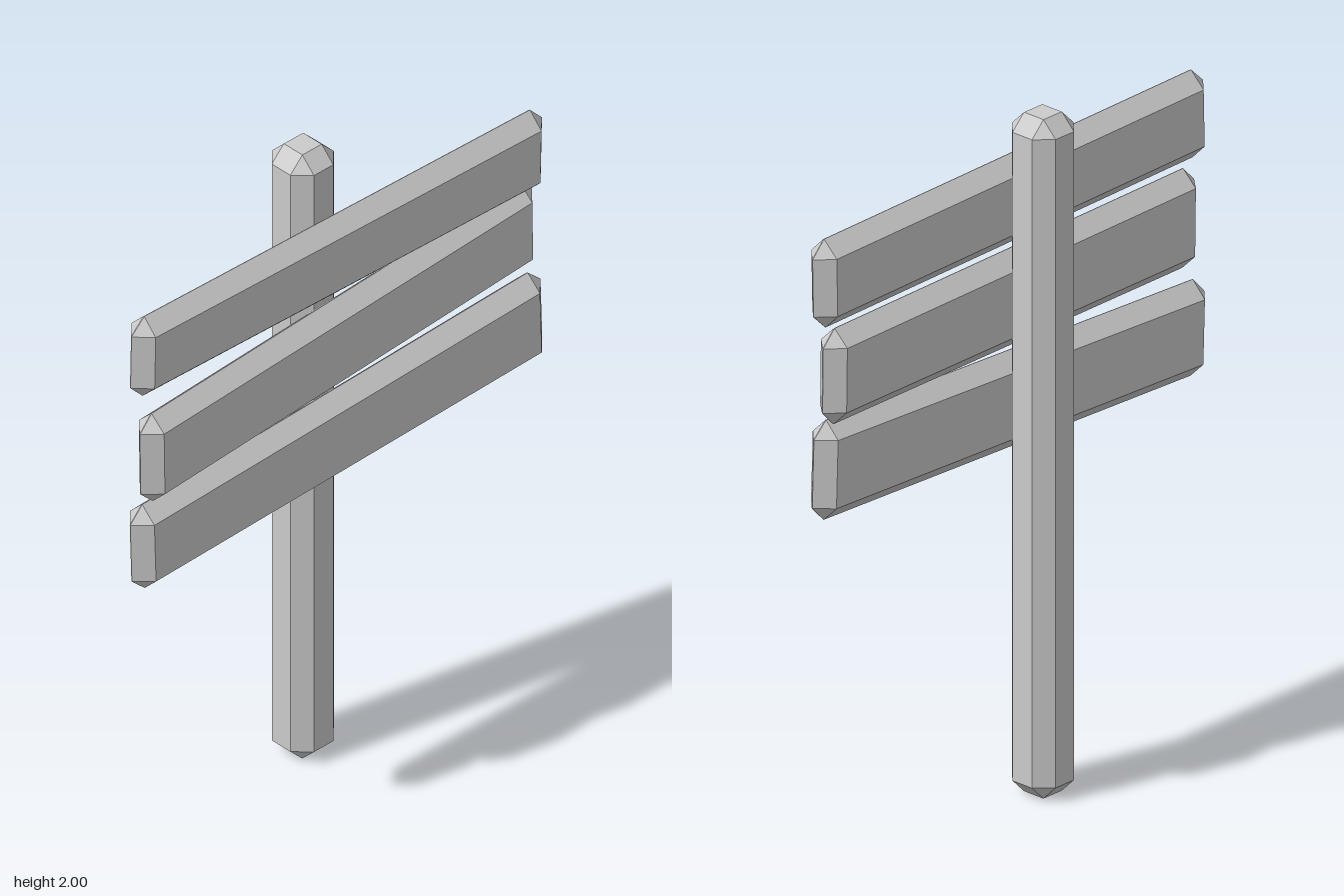
import * as THREE from 'three';
import { ConvexGeometry } from 'three/addons/geometries/ConvexGeometry.js';

const material = new THREE.MeshStandardMaterial({ color: 0xcccccc, flatShading: true });

// Box with every edge and corner cut off; hFront and hBack are its heights at the +z and -z ends.
function chamferedBox(w, hFront, hBack, d, c) {
  const points = [];
  for (const sx of [-1, 1]) for (const sy of [-1, 1]) for (const sz of [-1, 1]) {
    const x = w / 2, y = (sz > 0 ? hFront : hBack) / 2, z = d / 2;
    points.push(
      new THREE.Vector3(sx * x, sy * (y - c), sz * (z - c)),
      new THREE.Vector3(sx * (x - c), sy * y, sz * (z - c)),
      new THREE.Vector3(sx * (x - c), sy * (y - c), sz * z)
    );
  }
  return new ConvexGeometry(points);
}

function addPart(group, name, geometry, x, y, pitch = 0, yaw = 0) {
  const mesh = new THREE.Mesh(geometry, material);
  mesh.name = name;
  mesh.position.set(x, y, 0);
  mesh.rotation.set(pitch, yaw, 0);
  group.add(mesh);
}

export function createModel() {
  const group = new THREE.Group();
  group.name = 'signpost';

  // Upright post
  addPart(group, 'post', chamferedBox(0.162, 2, 2, 0.162, 0.045), -0.068, 1);

  // Three boards fixed to the post's +x side, each slightly askew
  const boards = [
    { name: 'topBoard', y: 1.706, front: 0.26, back: 0.262, pitch: -0.023, yaw: 0 },
    { name: 'middleBoard', y: 1.415, front: 0.292, back: 0.281, pitch: 0.015, yaw: 0.0465 },
    { name: 'bottomBoard', y: 1.116, front: 0.281, back: 0.291, pitch: 0.033, yaw: 0 }
  ];
  for (const b of boards) {
    addPart(group, b.name, chamferedBox(0.094, b.front, b.back, 1.53, 0.046), 0.061, b.y, b.pitch, b.yaw);
  }
  return group;
}
